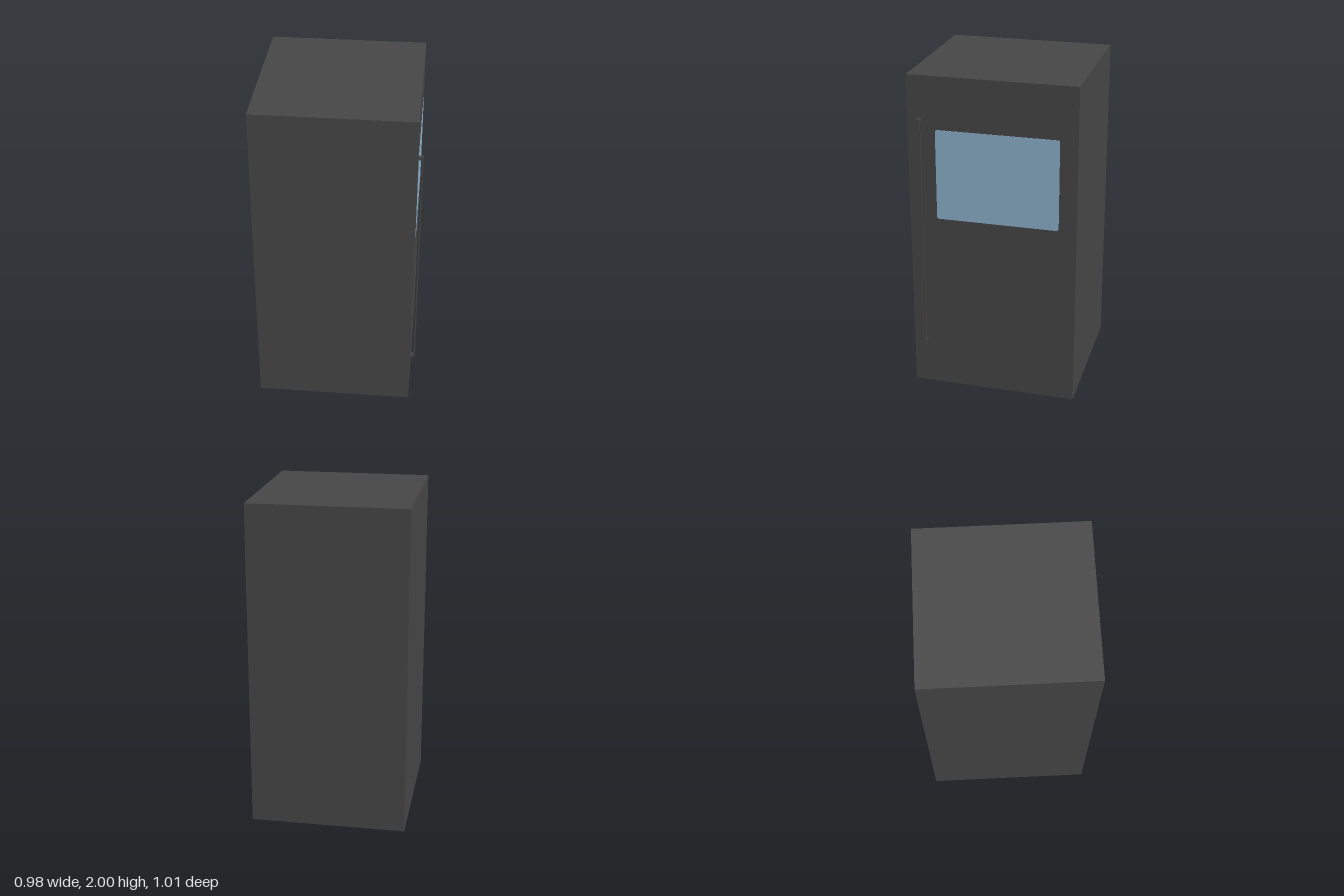
import * as THREE from 'three';

export function createModel() {
  const model = new THREE.Group();
  model.name = 'cabinet';

  const charcoal = new THREE.MeshStandardMaterial({ color: 0x464646 });
  charcoal.name = 'charcoal';
  const paleBlue = new THREE.MeshStandardMaterial({ color: 0x8cb0cc });
  paleBlue.name = 'pale blue';

  // Box given by its lower and upper corners
  function addBox(name, min, max, parent = model) {
    const size = max.map((v, i) => v - min[i]);
    const mesh = new THREE.Mesh(new THREE.BoxGeometry(...size), charcoal);
    mesh.position.set(...min.map((v, i) => v + size[i] / 2));
    mesh.name = name;
    parent.add(mesh);
  }

  // Plain cabinet body
  addBox('body', [-0.49, 0, -0.507], [0.46, 2, 0.507]);

  // Tall door handle: thin bar on two short brackets
  const handle = new THREE.Group();
  handle.name = 'handle';
  model.add(handle);
  addBox('handleBar', [0.481, 0.285, 0.422], [0.49, 1.745, 0.446], handle);
  for (const [name, y] of [['lowerBracket', 0.285], ['upperBracket', 1.725]]) {
    addBox(name, [0.46, y, 0.422], [0.481, y + 0.02, 0.446], handle);
  }

  // Door window: thin plate with small rounded corners, facing +x
  const w = 0.74, h = 0.556, r = 0.014;
  const x = w / 2, y = h / 2;
  const outline = new THREE.Shape();
  outline.absarc(x - r, y - r, r, 0, Math.PI / 2);
  outline.absarc(-x + r, y - r, r, Math.PI / 2, Math.PI);
  outline.absarc(-x + r, -y + r, r, Math.PI, Math.PI * 1.5);
  outline.absarc(x - r, -y + r, r, Math.PI * 1.5, Math.PI * 2);
  const pane = new THREE.ExtrudeGeometry(outline, { depth: 0.002, bevelEnabled: false, curveSegments: 4 });
  const doorWindow = new THREE.Mesh(pane, paleBlue);
  doorWindow.name = 'doorWindow';
  doorWindow.rotation.y = Math.PI / 2;
  doorWindow.position.set(0.46, 1.402, -0.03);
  model.add(doorWindow);

  return model;
}
